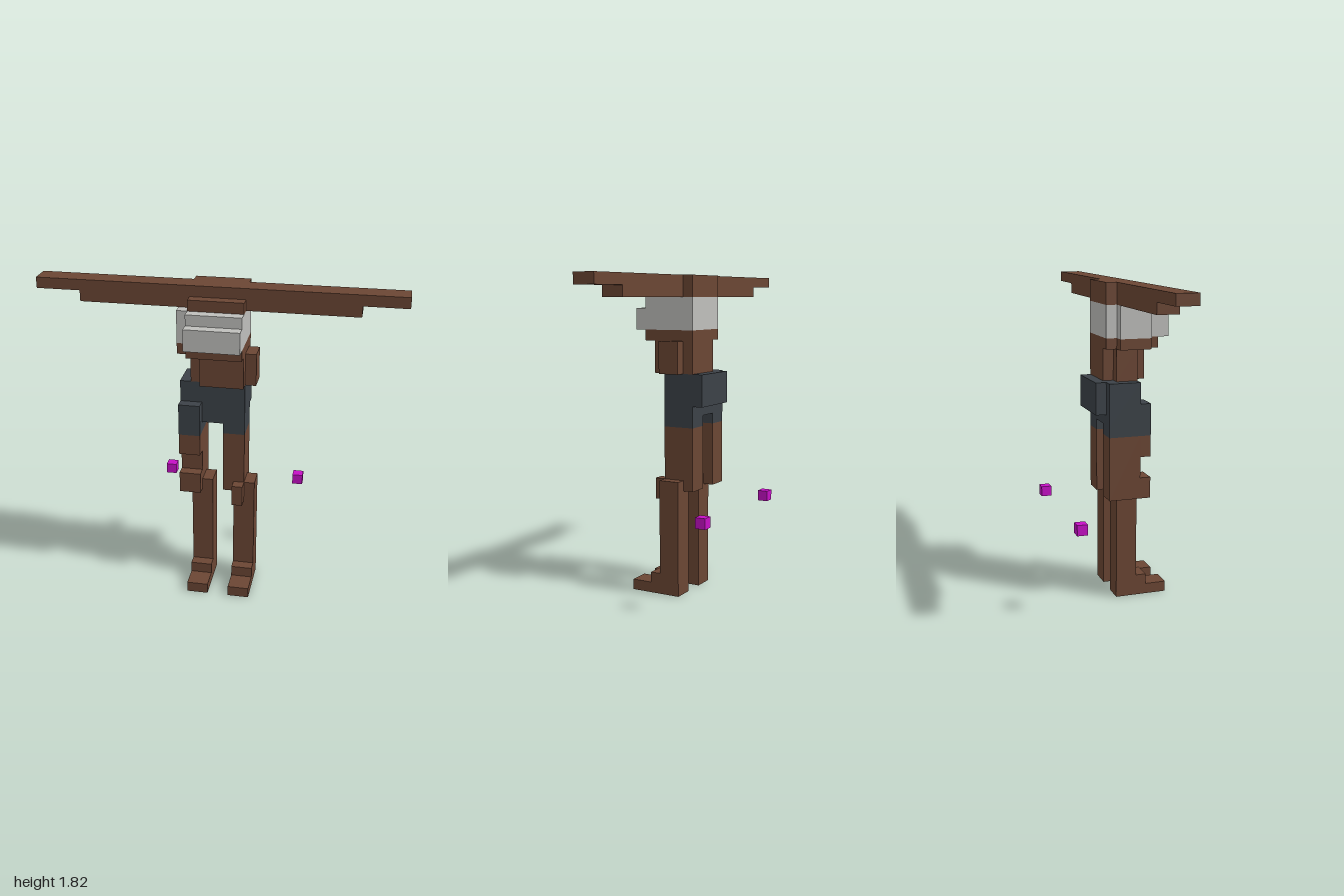
import * as THREE from 'three';

const U = 2 / 33; // size of one block

export function createModel() {
  const model = new THREE.Group();
  model.name = 'blockFigure';

  const material = (name, color) => {
    const m = new THREE.MeshStandardMaterial({ color });
    m.name = name;
    return m;
  };
  const skin = material('brown skin', 0x6b4634);
  const cloth = material('pale grey cloth', 0xbfbfbc);
  const shorts = material('dark slate shorts', 0x3c4248);
  const marker = material('magenta marker', 0xc60fc6);

  // Box between block coordinates on each axis
  const box = (parent, name, mat, [x0, x1], [y0, y1], [z0, z1]) => {
    const geo = new THREE.BoxGeometry((x1 - x0) * U, (y1 - y0) * U, (z1 - z0) * U);
    const mesh = new THREE.Mesh(geo, mat);
    mesh.name = name;
    mesh.position.set((x0 + x1) / 2 * U, (y0 + y1) / 2 * U, (z0 + z1) / 2 * U);
    parent.add(mesh);
  };
  const group = (name) => {
    const g = new THREE.Group();
    g.name = name;
    model.add(g);
    return g;
  };

  // Outstretched arms and shoulders
  const arms = group('arms');
  box(arms, 'upperArmSpan', skin, [-16.5, 16.5], [29, 30], [0, 2]);
  box(arms, 'lowerArmSpan', skin, [-12.5, 12.5], [28, 29], [0, 2]);
  box(arms, 'shoulders', skin, [-2.5, 2.5], [28, 30], [-1, 2]);
  box(arms, 'upperChest', skin, [-2.5, 2.5], [28, 29], [2, 3]);

  // Chest wrap
  const top = group('chestWrap');
  box(top, 'wrapBody', cloth, [-2.5, 2.5], [25, 28], [-1, 4]);
  box(top, 'wrapFront', cloth, [-2.5, 2.5], [25, 27], [4, 5]);
  box(top, 'wrapSide', cloth, [-3.5, -2.5], [25, 28], [0, 3]);

  // Waist
  const waist = group('waist');
  box(waist, 'ribs', skin, [-2.5, 2.5], [24, 25], [-1, 4]);
  box(waist, 'ribSide', skin, [-3.5, -2.5], [24, 25], [0, 3]);
  box(waist, 'belly', skin, [-1.5, 2.5], [21, 24], [-1, 3]);
  for (const x of [-2.5, 2.5]) box(waist, 'waistSide', skin, [x, x + 1], [21, 24], [0, 2]);

  // Shorts
  const pants = group('shorts');
  box(pants, 'hips', shorts, [-3.5, 2.5], [17, 21], [-1, 2]);
  box(pants, 'seat', shorts, [-2.5, 2.5], [18, 21], [-2, -1]);
  for (const x of [-3.5, 0.5]) box(pants, 'shortsLeg', shorts, [x, x + 2], [16, 17], [-1, 2]);
  box(pants, 'raisedHem', shorts, [-3.5, -1.5], [16, 19], [2, 3]);

  // Legs: thigh start, shin start
  for (const [name, thigh, shin] of [['rightLeg', -3.5, -2.5], ['leftLeg', 0.5, 1.5]]) {
    const leg = group(name);
    box(leg, 'thigh', skin, [thigh, thigh + 2], [10, 16], [-1, 2]);
    box(leg, 'shin', skin, [shin, shin + 2], [0, 11], [0, 2]);
    box(leg, 'instep', skin, [shin, shin + 2], [0, 2], [2, 3]);
    box(leg, 'toes', skin, [shin, shin + 2], [0, 1], [3, 5]);
  }
  const fronts = group('legFronts');
  box(fronts, 'rightThighFront', skin, [-3.5, -1.5], [14, 16], [2, 3]);
  box(fronts, 'rightKnee', skin, [-3.5, -1.5], [10, 12], [2, 3]);
  box(fronts, 'leftKnee', skin, [1.5, 2.5], [9, 11], [2, 3]);

  // Floating marker cubes behind the figure
  for (const x of [-6.5, 6.5]) box(model, 'markerCube', marker, [x, x + 1], [8, 9], [-5, -4]);

  return model;
}
